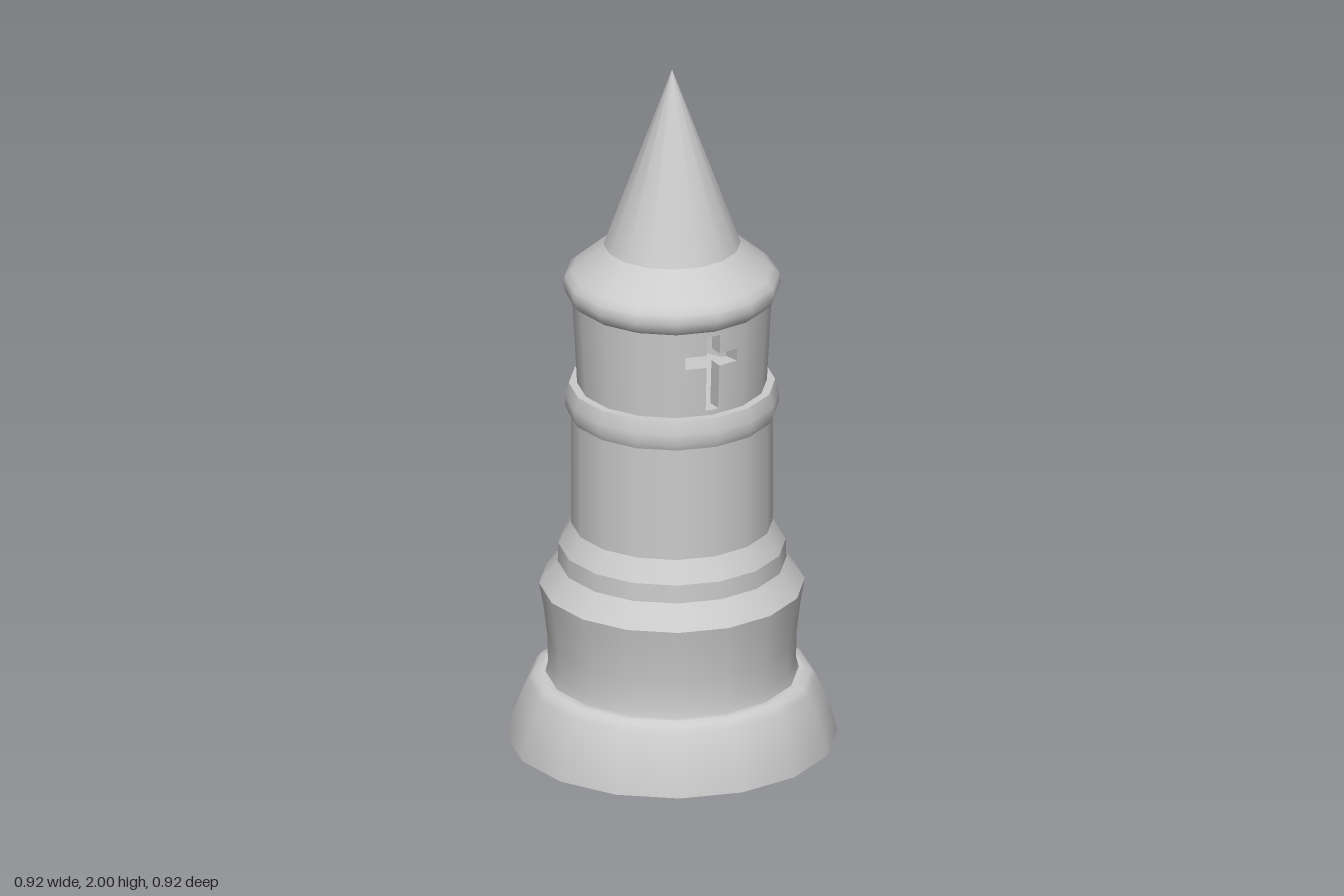
import * as THREE from 'three';

const SIDES = 16;
const STEP = (Math.PI * 2) / SIDES;
const material = new THREE.MeshStandardMaterial({ color: 0xcccccc });

// Each band is a smooth run of [radius, height] points; edges between bands stay sharp.
function turned(name, bands, start = 0, sides = SIDES) {
  const part = new THREE.Group();
  part.name = name;
  bands.forEach((band, i) => {
    const points = band.map(([r, y]) => new THREE.Vector2(r, y));
    const mesh = new THREE.Mesh(new THREE.LatheGeometry(points, sides, start, sides * STEP), material);
    mesh.name = `${name}Band${i + 1}`;
    part.add(mesh);
  });
  return part;
}

// Lantern wall: flares slightly towards the top
const WALL = { bottom: 1.06, top: 1.325, rBottom: 0.263, rTop: 0.277, thickness: 0.045 };
const wallRadius = (y) =>
  THREE.MathUtils.mapLinear(y, WALL.bottom, WALL.top, WALL.rBottom, WALL.rTop);

// One facet of the wall with half of a cross cut out of its inner edge
function halfCrossPanel(side) {
  const { bottom, top, rTop, thickness } = WALL;
  const width = rTop * Math.sin(STEP);
  const outline = [
    [0, bottom], [width, bottom], [width, top], [0, top],
    [0, 1.303], [0.02, 1.303], [0.02, 1.245], [0.08, 1.245],
    [0.08, 1.208], [0.02, 1.208], [0.02, 1.077], [0, 1.077],
  ];
  const shape = new THREE.Shape(outline.map(([x, y]) => new THREE.Vector2(x * side, y)));
  const geometry = new THREE.ExtrudeGeometry(shape, { depth: thickness, bevelEnabled: false });
  const position = geometry.attributes.position;
  const normal = geometry.attributes.normal;
  const n = new THREE.Vector3();
  const slope = (WALL.rTop - WALL.rBottom) / (top - bottom);
  for (let i = 0; i < position.count; i++) {
    const y = position.getY(i);
    const r = wallRadius(y) - thickness + position.getZ(i);
    const across = position.getX(i) / rTop;
    const x = across * r;
    const z = r - Math.abs(x) * Math.tan(STEP / 2);
    position.setXYZ(i, x, y, z);
    // Broad faces get round normals so that they blend with the turned wall
    const facing = normal.getZ(i);
    if (Math.abs(facing) > 0.5) {
      n.set(x, 0, z).normalize().setY(-slope).normalize().multiplyScalar(Math.sign(facing));
      normal.setXYZ(i, n.x, n.y, n.z);
    }
  }
  return new THREE.Mesh(geometry, material);
}

export function createModel() {
  const tower = new THREE.Group();
  tower.name = 'tower';

  // Rounded foot with a flat underside
  tower.add(turned('foot', [
    [[0, 0], [0.458, 0]],
    [[0.458, 0], [0.445, 0.06], [0.424, 0.12], [0.4, 0.17], [0.386, 0.187], [0.365, 0.195]],
    [[0.365, 0.195], [0.335, 0.195]],
  ]));

  // Waisted lower drum and stepped ledge
  tower.add(turned('lowerDrum', [
    [[0.352, 0.19], [0.344, 0.225], [0.345, 0.3], [0.356, 0.39], [0.368, 0.46]],
    [[0.368, 0.46], [0.317, 0.527]],
    [[0.317, 0.527], [0.315, 0.58]],
    [[0.315, 0.58], [0.28, 0.642]],
  ]));

  // Straight shaft
  tower.add(turned('shaft', [[[0.28, 0.642], [0.28, 0.98]]]));

  // Rounded collar, whose top is the lantern floor
  tower.add(turned('collar', [
    [[0.27, 0.975], [0.288, 0.975]],
    [[0.288, 0.975], [0.296, 0.995], [0.297, 1.025], [0.286, 1.062]],
    [[0.286, 1.062], [0, 1.065]],
  ]));

  // Plain wall on the two flanks
  const { bottom, top, rBottom, rTop, thickness } = WALL;
  [1, 9].forEach((facet, i) => {
    tower.add(turned(i ? 'rightWall' : 'leftWall', [
      [[rBottom, bottom], [rTop, top]],
      [[rTop - thickness, top], [rBottom - thickness, bottom]],
    ], facet * STEP, 6));
  });

  // Cross windows at the front and back
  ['front', 'back'].forEach((name, i) => {
    const crossWindow = new THREE.Group();
    crossWindow.name = `${name}CrossWindow`;
    crossWindow.rotation.y = i * Math.PI;
    for (const side of [1, -1]) {
      const panel = halfCrossPanel(side);
      panel.name = `${name}${side > 0 ? 'Left' : 'Right'}Panel`;
      crossWindow.add(panel);
    }
    tower.add(crossWindow);
  });

  // Cornice with rounded rim and sloping shoulder; its underside is the lantern ceiling
  tower.add(turned('cornice', [
    [[0, 1.318], [0.278, 1.318]],
    [[0.278, 1.318], [0.292, 1.33], [0.301, 1.355], [0.298, 1.383], [0.278, 1.4], [0.235, 1.437], [0.182, 1.482]],
  ]));

  // Pointed roof
  tower.add(turned('spire', [
    [[0, 1.478], [0.19, 1.478]],
    [[0.19, 1.478], [0, 2]],
  ]));

  return tower;
}
